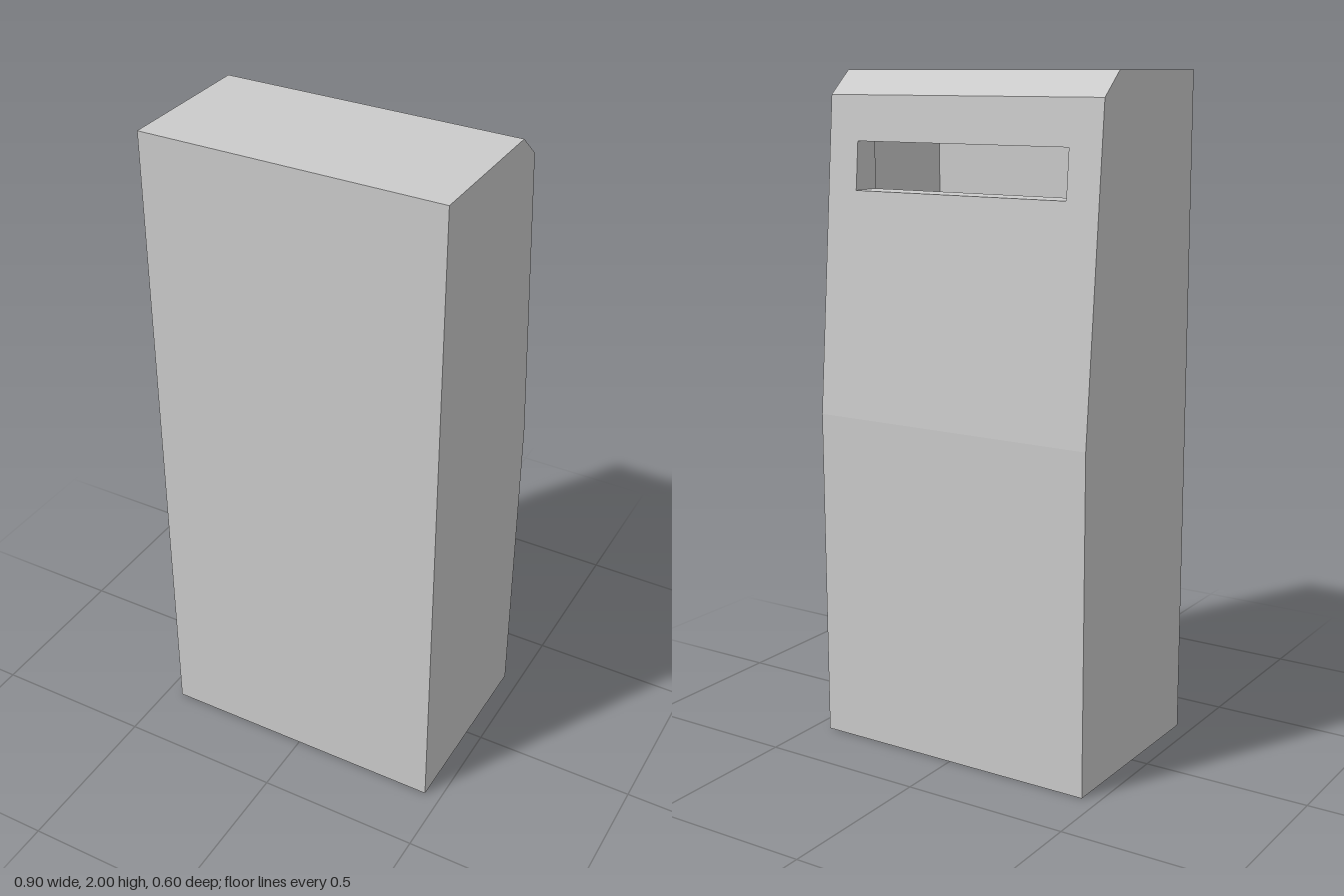
import * as THREE from 'three';

const HALF = 0.45;
// Depth of the leaning upper back face at height y
const lean = (y) => -0.3 + 0.08 * (y - 1) / 0.93;

// Flat-shaded mesh from a list of quads, each four corners counter-clockwise
function quadMesh(name, quads) {
  const pos = [];
  for (const [a, b, c, d] of quads) pos.push(...a, ...b, ...c, ...a, ...c, ...d);
  const geo = new THREE.BufferGeometry();
  geo.setAttribute('position', new THREE.Float32BufferAttribute(pos, 3));
  geo.computeVertexNormals();
  const mesh = new THREE.Mesh(geo, new THREE.MeshStandardMaterial({ color: 0xcccccc, flatShading: true }));
  mesh.name = name;
  return mesh;
}

// Rectangular ring of four corners; z is a depth or a function of y
function ring(half, y0, y1, z) {
  const at = typeof z === 'function' ? z : () => z;
  return [[-half, y0], [half, y0], [half, y1], [-half, y1]].map(([x, y]) => [x, y, at(y)]);
}

// Quads joining each ring to the next, ending in a flat cap
function joinRings(rings) {
  const quads = [];
  for (let r = 0; r < rings.length - 1; r++) {
    const o = rings[r], n = rings[r + 1];
    for (let i = 0; i < 4; i++) {
      const j = (i + 1) % 4;
      quads.push([o[i], n[i], n[j], o[j]]);
    }
  }
  quads.push([...rings[rings.length - 1]].reverse());
  return quads;
}

export function createModel() {
  const group = new THREE.Group();
  group.name = 'slottedCabinet';

  // Side outline as [z, y]; the closing edge is the leaning slotted face
  const outline = [[-0.3, 1], [-0.3, 0], [0.3, 0], [0.3, 2], [-0.14, 2], [-0.22, 1.93]];
  const left = outline.map(([z, y]) => [HALF, y, z]);
  const right = outline.map(([z, y]) => [-HALF, y, z]);

  // Lower back, base, front, top and chamfer
  const walls = [];
  for (let i = 0; i < outline.length - 1; i++) {
    walls.push([right[i], left[i], left[i + 1], right[i + 1]]);
  }
  group.add(quadMesh('outerWalls', walls));

  // Six-sided side panels, two quads each
  const halves = (p) => [[p[0], p[1], p[2], p[3]], [p[0], p[3], p[4], p[5]]];
  group.add(quadMesh('rightSide', halves(right)));
  group.add(quadMesh('leftSide', halves(left).map((q) => q.reverse())));

  // Leaning face with its slot
  const slot = ring(0.35, 1.66, 1.8, lean);
  const slotInner = ring(0.35, 1.66, 1.8, -0.15);
  const faceRings = [ring(HALF, 1, 1.93, lean), slot, slotInner];
  group.add(quadMesh('slottedFace', joinRings(faceRings).slice(0, -1)));

  // Hollow chamber behind the slot
  const chamber = [slotInner, ring(0.4, 0.05, 1.95, -0.15), ring(0.4, 0.05, 1.95, 0.25)];
  group.add(quadMesh('innerChamber', joinRings(chamber)));

  return group;
}
